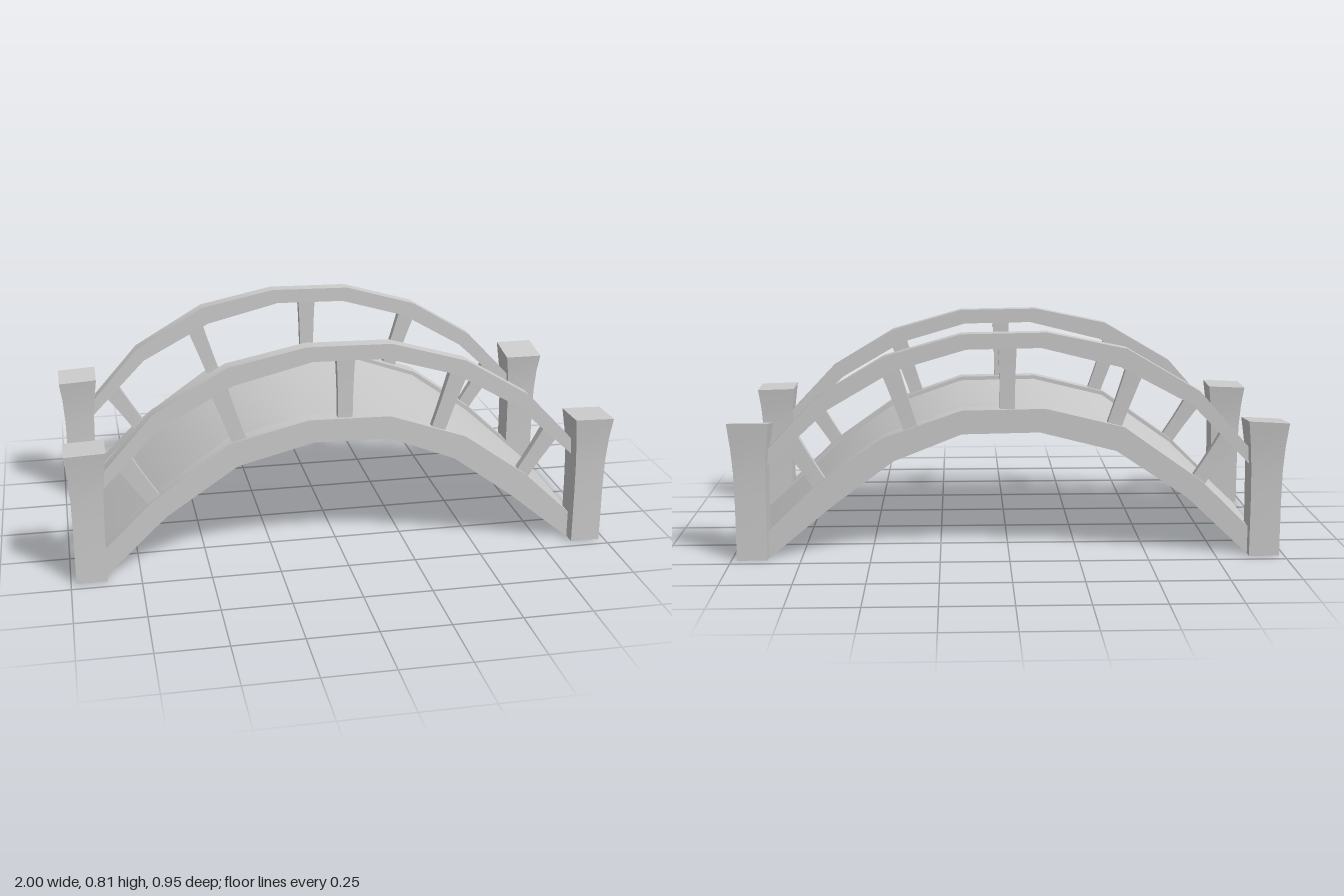
import * as THREE from 'three';
import { toCreasedNormals } from 'three/addons/utils/BufferGeometryUtils.js';

// Arch profiles (x, y), left to right: walkway beam and handrail
const beamTop = [[-0.974, 0], [-0.7, 0.27], [-0.415, 0.472], [-0.13, 0.541], [0.17, 0.536], [0.455, 0.437], [0.695, 0.266], [0.974, 0]];
const beamLow = [[-0.868, 0], [-0.649, 0.209], [-0.387, 0.385], [-0.11, 0.455], [0.17, 0.45], [0.415, 0.353], [0.64, 0.187], [0.865, 0]];
const railTop = [[-0.92, 0.335], [-0.686, 0.6], [-0.42, 0.756], [-0.135, 0.815], [0.17, 0.81], [0.447, 0.73], [0.69, 0.583], [0.92, 0.34]];
const railLow = [[-0.9, 0.302], [-0.66, 0.55], [-0.397, 0.69], [-0.114, 0.76], [0.153, 0.755], [0.41, 0.68], [0.65, 0.54], [0.9, 0.307]];

// Balusters: foot x, y, head x, y
const balusters = [
  [-0.685, 0.265, -0.795, 0.43],
  [-0.37, 0.45, -0.458, 0.7],
  [0.006, 0.52, 0.006, 0.775],
  [0.345, 0.445, 0.43, 0.7],
  [0.675, 0.255, 0.785, 0.425],
];

const mix = (a, b, t) => a.map((p, i) => [p[0] + (b[i][0] - p[0]) * t, p[1] + (b[i][1] - p[1]) * t]);

// Curved band between two profiles, spanning z0..z1
function band(low, high, z0, z1) {
  const shape = new THREE.Shape([...low, ...[...high].reverse()].map(([x, y]) => new THREE.Vector2(x, y)));
  const geo = new THREE.ExtrudeGeometry(shape, { depth: z1 - z0, bevelEnabled: false });
  return geo.translate(0, 0, z0);
}

// Removes the faces lying on the ground, leaving the part open below
function openBelow(geo) {
  const flat = geo.index ? geo.toNonIndexed() : geo;
  const src = flat.attributes.position.array;
  const kept = [];
  for (let i = 0; i < src.length; i += 9) {
    const onGround = Math.max(src[i + 1], src[i + 4], src[i + 7]) < 1e-4;
    if (!onGround) kept.push(...src.slice(i, i + 9));
  }
  const open = new THREE.BufferGeometry();
  open.setAttribute('position', new THREE.Float32BufferAttribute(kept, 3));
  return open;
}

// Square post whose four sides flare towards a slightly tilted top
function postGeometry(tiltX, tiltZ) {
  const rings = [[0, 0.055], [0.2, 0.055], [0.32, 0.057], [0.41, 0.063], [0.492, 0.073]];
  const geo = new THREE.BoxGeometry(2, 4, 2, 1, 4, 1);
  const p = geo.attributes.position;
  for (let i = 0; i < p.count; i++) {
    const k = Math.round(p.getY(i) + 2);
    const [y, half] = rings[k];
    const x = p.getX(i), z = p.getZ(i);
    const tilt = k === 4 ? x * tiltX + z * tiltZ : 0;
    p.setXYZ(i, x * half, y + tilt, z * half);
  }
  return openBelow(geo);
}

// Slim baluster, flaring towards its head
function balusterGeometry(length) {
  const geo = new THREE.BoxGeometry(0.053, length, 0.027, 1, 4, 1);
  const p = geo.attributes.position;
  for (let i = 0; i < p.count; i++) {
    const t = p.getY(i) / length + 0.5;
    const s = 1 + 0.28 * t * t;
    p.setX(i, p.getX(i) * s);
    p.setZ(i, p.getZ(i) * s);
  }
  return geo;
}

export function createModel() {
  const bridge = new THREE.Group();
  bridge.name = 'archedFootbridge';
  const material = new THREE.MeshStandardMaterial({ color: 0xcccccc, side: THREE.DoubleSide });
  const add = (name, geo, parent = bridge) => {
    const mesh = new THREE.Mesh(toCreasedNormals(geo, 0.7), material);
    mesh.name = name;
    parent.add(mesh);
    return mesh;
  };

  // Thin walkway set between the side beams
  const deckLow = mix(beamLow, beamTop, 0.6);
  const deckTop = mix(beamLow, beamTop, 0.83);
  deckTop[0][0] = -0.964;
  deckTop[7][0] = 0.964;
  add('deck', openBelow(band(deckLow, deckTop, -0.355, 0.355)));

  // Each side: beam, handrail and balusters
  const sides = [
    { name: 'front', beam: [0.35, 0.408], rail: [0.355, 0.41] },
    { name: 'back', beam: [-0.42, -0.349], rail: [-0.419, -0.363] },
  ];
  for (const side of sides) {
    const group = new THREE.Group();
    group.name = side.name + 'Side';
    bridge.add(group);
    add('sideBeam', openBelow(band(beamLow, beamTop, ...side.beam)), group);
    add('handrail', band(railLow, railTop, ...side.rail), group);
    const z = (side.rail[0] + side.rail[1]) / 2;
    for (const [x0, y0, x1, y1] of balusters) {
      const baluster = add('baluster', balusterGeometry(Math.hypot(x1 - x0, y1 - y0)), group);
      baluster.position.set((x0 + x1) / 2, (y0 + y1) / 2, z);
      baluster.rotation.z = Math.atan2(x0 - x1, y1 - y0);
    }
  }

  // Corner posts: x, z, top tilt along x and z
  const posts = [
    [-0.926, 0.404, 0.003, 0.002],
    [0.925, 0.404, -0.002, 0.002],
    [-0.926, -0.404, 0.004, -0.005],
    [0.925, -0.404, 0, -0.012],
  ];
  for (const [x, z, tiltX, tiltZ] of posts) {
    add('cornerPost', postGeometry(tiltX, tiltZ)).position.set(x, 0, z);
  }
  return bridge;
}
